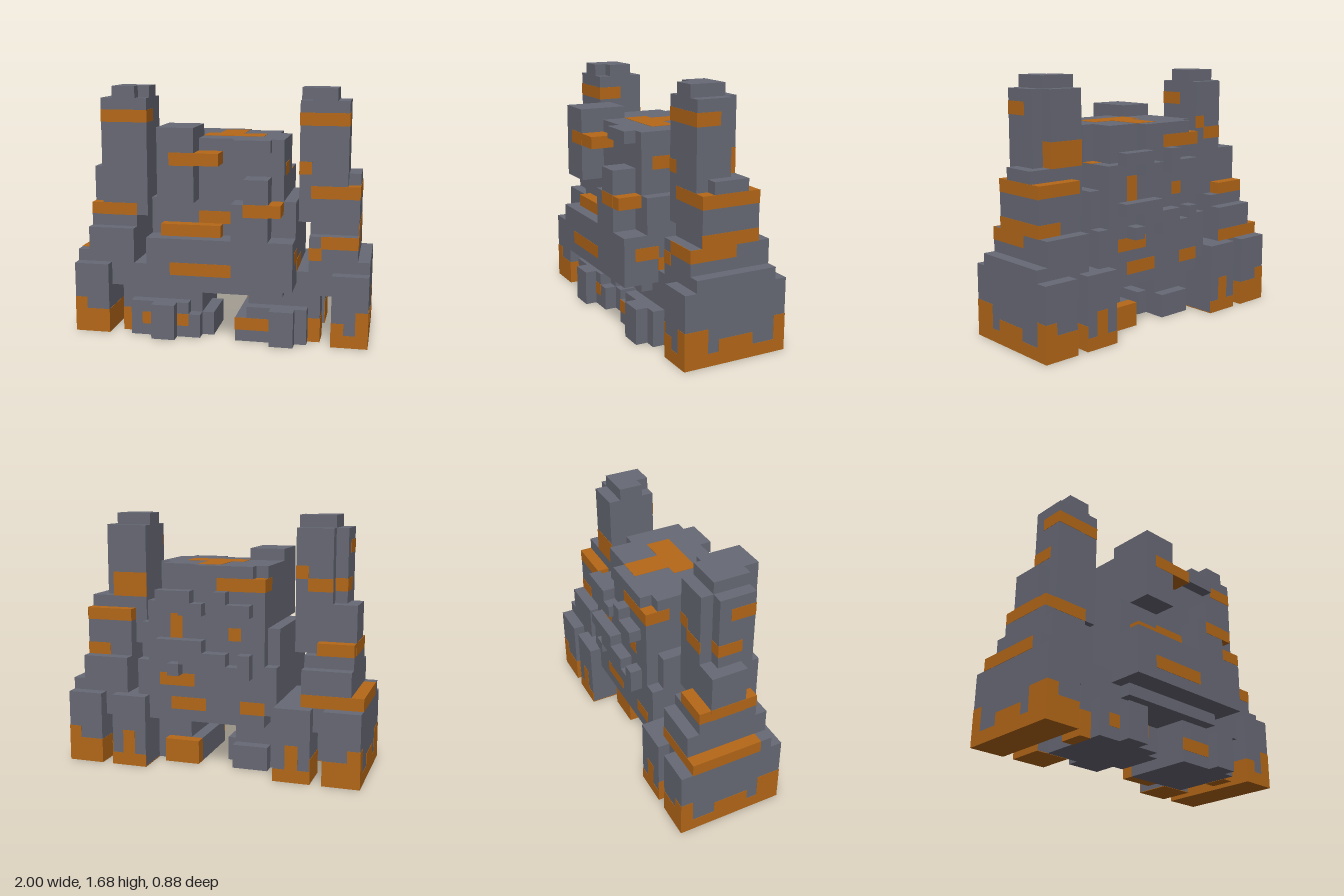
import * as THREE from 'three';

const U = 0.08; // size of one block

export function createModel() {
  const root = new THREE.Group();
  root.name = 'blockGolem';
  const stone = new THREE.MeshStandardMaterial({ color: 0x676975 });
  stone.name = 'stoneGrey';
  const rust = new THREE.MeshStandardMaterial({ color: 0xb56818 });
  rust.name = 'rustOrange';

  // Box from block ranges: x 0..25 (right to left), y 0..21, z 0..11 (back to front)
  function box(parent, name, [x0, x1, y0, y1, z0, z1], mat = stone, grow = 0) {
    const g = new THREE.BoxGeometry((x1 - x0) * U + grow, (y1 - y0) * U + grow, (z1 - z0) * U + grow);
    const m = new THREE.Mesh(g, mat);
    m.name = name;
    m.position.set((x0 + x1) / 2 * U - 1, (y0 + y1) / 2 * U, (z0 + z1) / 2 * U - 0.44);
    parent.add(m);
  }
  // Flat patches: one range has no width, so the box becomes a thin plate
  const paint = (parent, name, list) => list.forEach((r) => box(parent, name, r, rust, 0.004));
  const group = (name) => {
    const g = new THREE.Group();
    g.name = name;
    root.add(g);
    return g;
  };
  const flip = ([a, b, ...rest]) => [25 - b, 25 - a, ...rest];

  // Arms and fists, given for the left (+x) side and mirrored
  function makeArm(name, at) {
    const arm = group(name);
    const parts = {
      shoulderTower: [[19, 23, 14, 20, 4, 7], [20, 22, 20, 21, 4, 7], [19, 20, 20, 21, 4, 6]],
      shoulderBack: [[19, 22, 14, 20, 3, 4]],
      upperArm: [[19, 23, 10, 14, 3, 7], [23, 24, 10, 14, 3, 6], [20, 24, 9, 10, 2, 7]],
      elbow: [[20, 24, 7, 9, 1, 8]],
      wrist: [[20, 25, 6, 7, 1, 8], [19, 22, 4, 6, 1, 8]],
      fist: [[22, 25, 0, 6, 0, 9]],
      thumb: [[18, 21, 0, 6, 0, 3], [20, 21, 0, 4, 6, 8]],
    };
    for (const [part, list] of Object.entries(parts)) list.forEach((r) => box(arm, part, at(r)));

    // Shared rust: tower band, fist soles and ragged edges
    paint(arm, 'rustPatch', [
      [19, 23, 18, 19, 7, 7], [22, 25, 0, 0, 0, 9], [22, 25, 0, 2, 0, 0], [24, 25, 2, 3, 0, 0],
      [18, 21, 0, 0, 0, 3], [20, 21, 0, 0, 6, 8], [20, 21, 0, 2, 8, 8], [18, 21, 0, 1, 0, 0],
      [19, 20, 1, 3, 0, 0], [21, 21, 0, 2, 0, 3], [21, 21, 0, 2, 6, 8],
      [25, 25, 0, 1, 0, 9], [25, 25, 1, 3, 7, 9], [25, 25, 1, 2, 3, 6], [25, 25, 1, 3, 0, 1],
      [24, 25, 0, 3, 9, 9], [22, 24, 0, 1, 9, 9], [22, 22, 0, 2, 0, 9],
    ].map(at));
    return arm;
  }

  // Left arm with its own rust
  const leftArm = makeArm('leftArm', (r) => r);
  box(leftArm, 'armCorner', [23, 24, 10, 13, 6, 7]);
  box(leftArm, 'rustLedge', [20, 24, 12, 13, 2, 3], rust);
  box(leftArm, 'armBack', [20, 24, 10, 12, 2, 3]);
  paint(leftArm, 'rustPatch', [
    [20, 24, 12, 13, 7, 7], [24, 24, 12, 13, 2, 7], [23, 24, 13, 13, 6, 7],
    [21, 24, 8, 9, 8, 8], [20, 21, 7, 8, 8, 8], [24, 24, 8, 9, 4, 8], [24, 24, 9, 10, 2, 7],
    [22, 24, 9, 10, 2, 2], [19, 20, 14, 15, 7, 7], [19, 22, 14, 16, 3, 3], [22, 22, 14, 16, 3, 4],
    [23, 23, 18, 19, 5, 7], [22, 23, 1, 2, 9, 9],
  ]);

  // Right arm with its own rust
  const rightArm = makeArm('rightArm', flip);
  box(rightArm, 'rustLedge', [1, 4, 10, 11, 2, 3], rust);
  box(rightArm, 'rustCorner', [1, 2, 10, 11, 6, 7], rust);
  paint(rightArm, 'rustPatch', [
    [2, 5, 10, 11, 7, 7], [1, 1, 10, 11, 3, 6], [1, 3, 1, 2, 9, 9],
    [0, 0, 6, 7, 1, 7], [0, 5, 6, 7, 1, 1], [0, 1, 7, 7, 1, 7],
    [3, 5, 15, 16, 3, 3], [5, 6, 16, 17, 3, 3], [2, 3, 15, 16, 4, 4], [2, 2, 15, 16, 4, 6],
    [2, 2, 18, 19, 5, 7], [6, 6, 18, 19, 5, 7],
  ]);

  // Feet
  const leftFoot = group('leftFoot');
  [[14, 17, 0, 2, 3, 9], [15, 20, 0, 4, 3, 8], [15, 20, 0, 3, 8, 9]].forEach((r) => box(leftFoot, 'footBlock', r));
  box(leftFoot, 'toe', [17, 19, 0, 3, 9, 10]);
  box(leftFoot, 'rustHeel', [14, 17, 0, 2, 2, 3], rust);
  paint(leftFoot, 'rustPatch', [[14, 17, 1, 2, 9, 9]]);

  const rightFoot = group('rightFoot');
  [[5, 11, 0, 4, 3, 8], [5, 10, 0, 3, 8, 9], [10, 11, 0, 2, 8, 9]].forEach((r) => box(rightFoot, 'footBlock', r));
  box(rightFoot, 'toe', [7, 9, 0, 3, 9, 10]);
  box(rightFoot, 'innerToe', [11, 12, 0, 2, 4, 8]);
  box(rightFoot, 'heel', [8, 11, 0, 2, 2, 3]);
  paint(rightFoot, 'rustPatch', [[6, 7, 1, 2, 9, 9], [9, 10, 1, 2, 9, 9]]);

  // Torso
  const torso = group('torso');
  box(torso, 'pelvis', [5, 20, 4, 6, 3, 8]);
  box(torso, 'chest', [8, 18, 4, 14, 1, 9]);
  box(torso, 'chestTop', [8, 17, 14, 17, 2, 9]);
  box(torso, 'chestSide', [17, 18, 14, 17, 4, 9]);
  box(torso, 'upperBack', [8, 14, 14, 16, 1, 2]);
  box(torso, 'backCrest', [9, 14, 16, 17, 1, 2]);
  box(torso, 'waist', [7, 19, 5, 12, 2, 9]);
  box(torso, 'waistBack', [7, 19, 5, 9, 1, 2]);
  box(torso, 'belly', [7, 19, 5, 9, 9, 11]);
  box(torso, 'collar', [14, 17, 16, 17, 9, 10]);
  box(torso, 'chestLedge', [8, 13, 9, 10, 9, 10], rust);
  box(torso, 'chestBlock', [14, 17, 9, 12, 9, 11]);
  box(torso, 'chestBlockTop', [15, 17, 12, 14, 9, 11]);
  box(torso, 'chestBump', [17, 18, 11, 12, 9, 11], rust);

  // Head set off-centre on the chest
  const head = group('head');
  box(head, 'headBlock', [8, 11, 12, 18, 7, 11]);
  box(head, 'nose', [11, 13, 15, 16, 9, 11], rust);
  paint(head, 'rustPatch', [[9, 11, 15, 16, 11, 11]]);

  // Raised ridges on the back
  [
    [14, 17, 14, 15], [13, 15, 13, 14], [9, 12, 13, 14], [11, 12, 14, 15],
    [13, 17, 10, 11], [13, 15, 9, 10], [9, 11, 8, 9], [11, 13, 8, 10], [9, 10, 9, 10], [15, 16, 8, 9],
  ].forEach((r) => box(torso, 'backRidge', [...r, 0, 1]));

  paint(torso, 'rustPatch', [
    [12, 14, 17, 17, 2, 5], [11, 16, 17, 17, 5, 7], [17, 18, 14, 14, 3, 4], [8, 9, 16, 16, 1, 2], // top
    [9, 14, 6, 7, 11, 11], [11, 14, 10, 11, 9, 9], [15, 17, 11, 12, 11, 11], // front
    [18, 18, 14, 15, 6, 8], [19, 19, 7, 8, 8, 10], [19, 19, 6, 7, 5, 8], [8, 8, 15, 16, 1, 3], // sides
    [8, 12, 15, 16, 1, 1], [15, 16, 11, 13, 1, 1], [10, 11, 11, 12, 1, 1], // back
    [14, 17, 7, 8, 1, 1], [13, 16, 5, 6, 1, 1], [8, 10, 5, 6, 1, 1],
  ]);

  return root;
}
